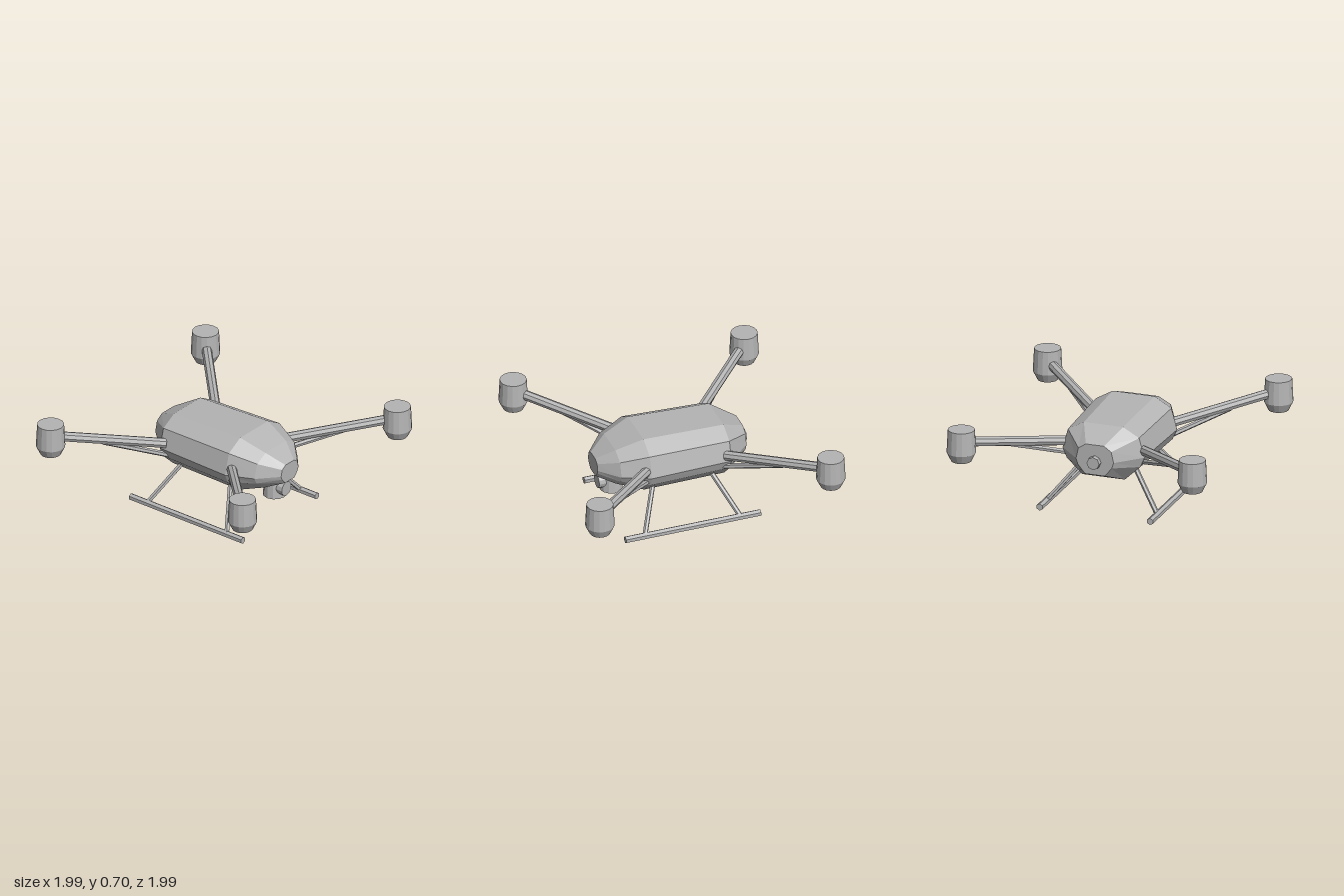
import * as THREE from 'three';

const grey = new THREE.MeshStandardMaterial({ color: 0xb4b4b4, flatShading: true });
grey.name = 'grey';

function add(parent, name, geometry) {
  const mesh = new THREE.Mesh(geometry, grey);
  mesh.name = name;
  parent.add(mesh);
  return mesh;
}

// Straight rod between two points
function rod(parent, name, from, to, radius, sides = 6) {
  const a = new THREE.Vector3(...from), b = new THREE.Vector3(...to);
  const dir = b.clone().sub(a);
  const mesh = add(parent, name, new THREE.CylinderGeometry(radius, radius, dir.length(), sides));
  mesh.position.copy(a).add(b).multiplyScalar(0.5);
  mesh.quaternion.setFromUnitVectors(new THREE.Vector3(0, 1, 0), dir.normalize());
  return mesh;
}

// Faceted hull lofted through ten-sided sections, nose to tail
function hullGeometry() {
  const mid = 0.44;
  const sections = [ // z, half width, top, bottom
    [0.61, 0.10, 0.515, 0.37],
    [0.48, 0.245, 0.60, 0.32],
    [0.28, 0.335, 0.675, 0.252],
    [-0.34, 0.315, 0.655, 0.252],
    [-0.52, 0.145, 0.56, 0.33],
  ];
  const n = 10, pos = [], idx = [];
  for (const [z, w, top, bottom] of sections) {
    const shoulder = mid + (top - mid) * 0.68, low = mid - (mid - bottom) * 0.4;
    const half = [[w * 0.52, bottom], [w * 0.9, low], [w, mid], [w * 0.87, shoulder], [w * 0.48, top]];
    for (const [x, y] of half) pos.push(x, y, z);
    for (const [x, y] of half.reverse()) pos.push(-x, y, z);
  }
  const last = (sections.length - 1) * n;
  for (let i = 0; i < last; i += n) {
    for (let j = 0; j < n; j++) {
      const a = i + j, b = i + (j + 1) % n;
      idx.push(a, a + n, b, b, a + n, b + n);
    }
  }
  for (let j = 1; j < n - 1; j++) {
    idx.push(0, j, j + 1);
    idx.push(last, last + j + 1, last + j);
  }
  const g = new THREE.BufferGeometry();
  g.setAttribute('position', new THREE.Float32BufferAttribute(pos, 3));
  g.setIndex(idx);
  const flat = g.toNonIndexed();
  flat.computeVertexNormals();
  return flat;
}

export function createModel() {
  const model = new THREE.Group();
  model.name = 'quadcopter';
  add(model, 'hull', hullGeometry());

  // Arms, braces and motor pods at the four corners
  const podProfile = [[0, 0.455], [0.075, 0.455], [0.107, 0.52], [0.098, 0.695], [0, 0.695]]
    .map(([x, y]) => new THREE.Vector2(x, y));
  for (const sx of [1, -1]) {
    for (const sz of [1, -1]) {
      const corner = new THREE.Group();
      corner.name = (sz > 0 ? 'front' : 'rear') + (sx > 0 ? 'Left' : 'Right') + 'Arm';
      rod(corner, 'arm', [sx * 0.29, 0.483, sz * 0.305], [sx * 0.85, 0.592, sz * 0.85], 0.037, 8);
      rod(corner, 'brace', [sx * 0.28, 0.388, sz * 0.29], [sx * 0.62, 0.525, sz * 0.62], 0.02);
      const pod = add(corner, 'motorPod', new THREE.LatheGeometry(podProfile, 16));
      pod.position.set(sx * 0.89, 0, sz * 0.89);
      model.add(corner);
    }
  }

  // Landing gear
  for (const s of [1, -1]) {
    const gear = new THREE.Group();
    gear.name = s > 0 ? 'leftLandingGear' : 'rightLandingGear';
    rod(gear, 'skid', [s * 0.425, 0.025, -0.52], [s * 0.425, 0.025, 0.52], 0.026);
    for (const sz of [1, -1]) {
      rod(gear, 'leg', [s * 0.205, 0.305, sz * 0.225], [s * 0.42, 0.035, sz * 0.365], 0.019);
    }
    model.add(gear);
  }

  // Camera turret with forward lens
  const turret = add(model, 'cameraTurret', new THREE.CylinderGeometry(0.075, 0.086, 0.14, 12));
  turret.position.set(0, 0.28, 0.47);
  rod(model, 'cameraLens', [0, 0.29, 0.47], [0, 0.29, 0.58], 0.055, 12);

  // Tail knob
  rod(model, 'tailKnob', [0, 0.43, -0.50], [0, 0.43, -0.56], 0.048, 8);
  return model;
}
